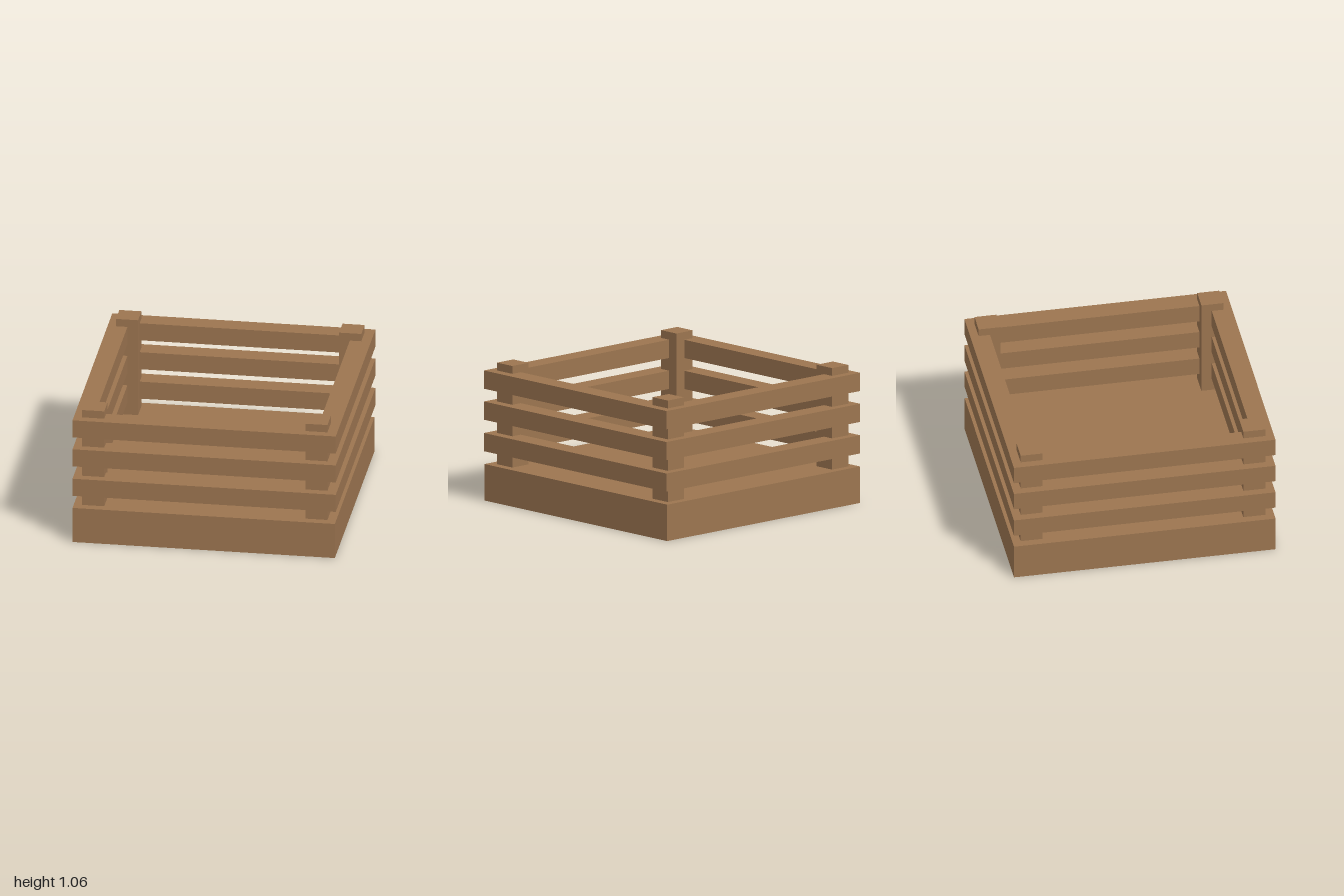
import * as THREE from 'three';

export function createModel() {
  const crate = new THREE.Group();
  crate.name = 'slattedCrate';
  const wood = new THREE.MeshStandardMaterial({ color: 0x9c7550, side: THREE.DoubleSide });
  wood.name = 'brown wood';

  function add(name, geometry, x, y, z) {
    const mesh = new THREE.Mesh(geometry, wood);
    mesh.name = name;
    mesh.position.set(x, y, z);
    crate.add(mesh);
  }

  // Base: thin shell with a floor on top, open underneath
  const baseHeight = 0.28;
  const shell = new THREE.BoxGeometry(1.993, baseHeight, 2);
  const index = Array.from(shell.index.array);
  index.splice(18, 6); // drop the bottom face
  shell.setIndex(index);
  shell.clearGroups();
  add('base', shell, -0.0035, baseHeight / 2, 0);

  // Corner posts standing on the floor
  const postHeight = 1.06 - baseHeight;
  for (const x of [-0.853, 0.843]) {
    for (const z of [-0.853, 0.85]) {
      add('cornerPost', new THREE.BoxGeometry(0.168, postHeight, 0.168), x, baseHeight + postHeight / 2, z);
    }
  }

  // Three square rail frames around the posts
  const railHeight = 0.14;
  const outline = new THREE.Shape([[-1, -1], [1, -1], [1, 1], [-1, 1]].map(p => new THREE.Vector2(...p)));
  // shape y becomes -z once the frame is laid flat
  outline.holes.push(new THREE.Path([[-0.85, -0.845], [-0.85, 0.85], [0.84, 0.85], [0.84, -0.845]].map(p => new THREE.Vector2(...p))));
  const frame = new THREE.ExtrudeGeometry(outline, { depth: railHeight, bevelEnabled: false });
  frame.rotateX(-Math.PI / 2);
  for (const y of [0.38, 0.622, 0.86]) add('railFrame', frame, 0, y, 0);

  return crate;
}
